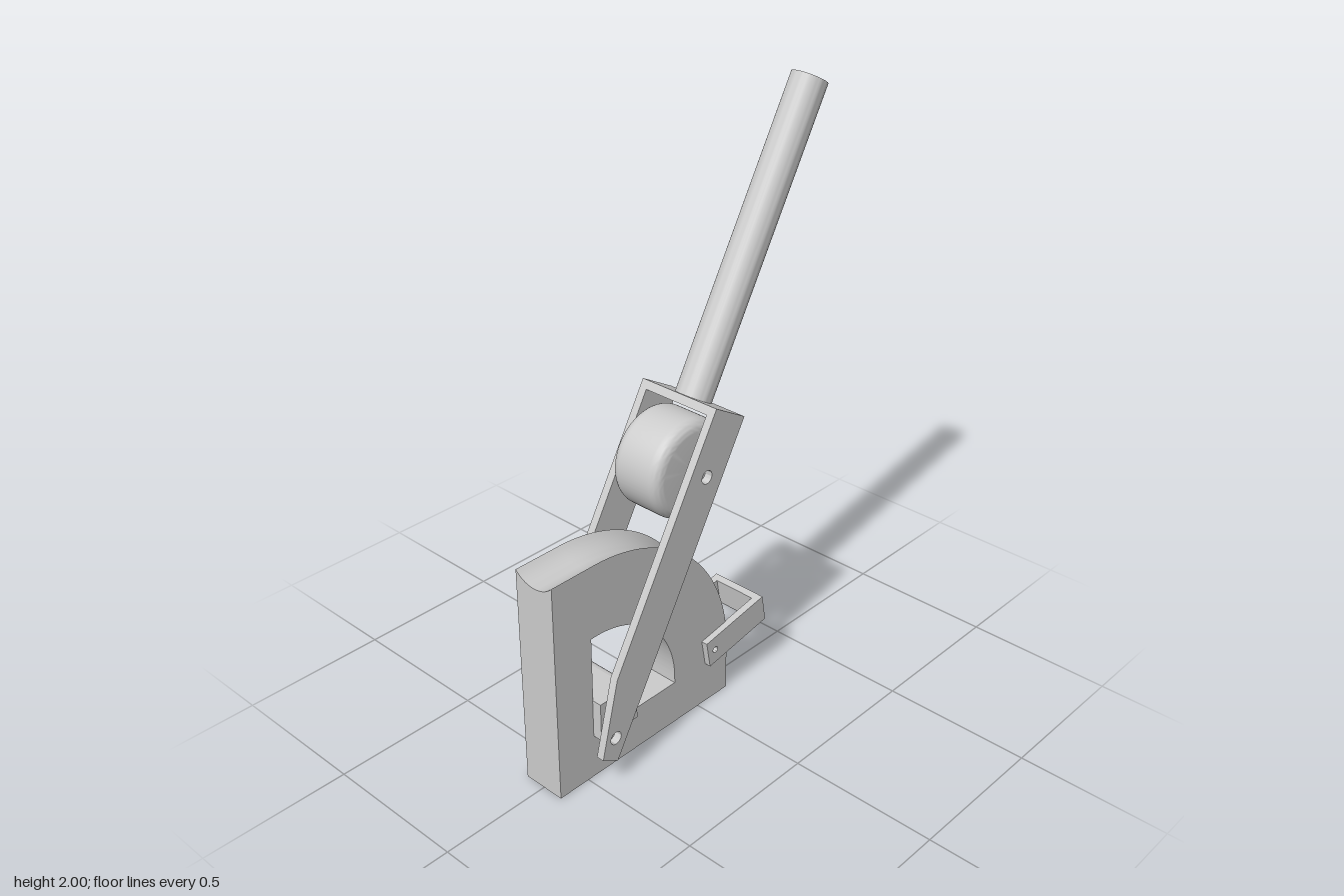
import * as THREE from 'three';
import { toCreasedNormals } from 'three/addons/utils/BufferGeometryUtils.js';

const PIVOT = new THREE.Vector2(-0.45, 0.175);
const material = new THREE.MeshStandardMaterial({ color: 0xcccccc });

function add(parent, name, geometry) {
  const mesh = new THREE.Mesh(toCreasedNormals(geometry, 0.6), material);
  mesh.name = name;
  parent.add(mesh);
  return mesh;
}

function polygon(points) {
  return new THREE.Shape(points.map(([x, y]) => new THREE.Vector2(x, y)));
}

function drill(shape, x, y, radius) {
  shape.holes.push(new THREE.Path().absarc(x, y, radius, 0, Math.PI * 2, true));
}

// Extrude a shape along z, centred on z = 0
function plate(shape, depth, steps = 1) {
  return new THREE.ExtrudeGeometry(shape, { depth, steps, bevelEnabled: false, curveSegments: 40 })
    .translate(0, 0, -depth / 2);
}

// Quarter-round former with a window; its rim is hollowed to cradle a pipe
function formerGeometry() {
  const rim = 0.59, half = 0.075, sag = 0.033;
  const shape = new THREE.Shape();
  shape.moveTo(-0.617, 0);
  shape.lineTo(0.14, 0);
  shape.absarc(PIVOT.x, PIVOT.y, rim, 0, Math.PI / 2, false);
  shape.lineTo(-0.617, PIVOT.y + rim);
  shape.closePath();

  const opening = new THREE.Path();
  opening.moveTo(-0.47, 0.155);
  opening.lineTo(-0.11, 0.155);
  opening.absarc(PIVOT.x, PIVOT.y, 0.34, 0, Math.acos(-0.02 / 0.34), false);
  opening.closePath();
  shape.holes.push(opening);
  drill(shape, 0.06, 0.205, 0.011);

  const geometry = plate(shape, half * 2, 16);
  const R = (half * half + sag * sag) / (2 * sag);
  const pos = geometry.attributes.position;
  const dir = new THREE.Vector2();
  for (let i = 0; i < pos.count; i++) {
    dir.set(Math.max(pos.getX(i) - PIVOT.x, 0), Math.max(pos.getY(i) - PIVOT.y, 0));
    if (dir.length() < rim - 0.01) continue;
    const z = Math.min(Math.abs(pos.getZ(i)), half);
    const depth = Math.sqrt(R * R - z * z) - (R - sag);
    dir.normalize().multiplyScalar(depth);
    pos.setXY(i, pos.getX(i) - dir.x, pos.getY(i) - dir.y);
  }
  return geometry;
}

// Block that carries the pivot in the corner of the window
function bossGeometry() {
  const shape = new THREE.Shape();
  shape.moveTo(-0.472, 0.155);
  shape.lineTo(-0.316, 0.155);
  shape.absarc(-0.351, 0.255, 0.035, 0, Math.PI / 2, false);
  shape.lineTo(-0.472, 0.29);
  shape.closePath();
  drill(shape, PIVOT.x, PIVOT.y, 0.0195);
  return plate(shape, 0.217);
}

// Wheel with rounded shoulders and a bore, axis along z
function rollerGeometry() {
  const r = 0.163, half = 0.095, fillet = 0.037, bore = 0.022;
  const points = [new THREE.Vector2(bore, -half)];
  for (const side of [-1, 1]) {
    for (let i = 0; i <= 8; i++) {
      const a = (side < 0 ? i - 8 : i) / 8 * Math.PI / 2;
      points.push(new THREE.Vector2(
        r - fillet + fillet * Math.cos(a),
        side * (half - fillet) + fillet * Math.sin(a)));
    }
  }
  points.push(new THREE.Vector2(bore, half), new THREE.Vector2(bore, -half));
  return new THREE.LatheGeometry(points, 64).rotateX(Math.PI / 2);
}

export function createModel() {
  const model = new THREE.Group();
  model.name = 'pipeBender';

  add(model, 'former', formerGeometry());
  add(model, 'pivotBoss', bossGeometry());

  // Lever: local x runs along the handle, the origin is the pivot
  const lever = new THREE.Group();
  lever.name = 'lever';
  lever.position.set(PIVOT.x, PIVOT.y, 0);
  lever.rotation.z = Math.PI / 3;
  model.add(lever);

  const axisY = 0.023, top = 1.049;
  const arm = polygon([[-0.075, -0.05], [top, -0.05], [top, 0.096], [0.187, 0.096], [-0.075, 0.022]]);
  drill(arm, 0, 0, 0.022);
  drill(arm, 0.844, axisY, 0.022);
  for (const [side, name] of [[1, 'frontArm'], [-1, 'backArm']]) {
    add(lever, name, plate(arm, 0.027)).position.z = side * 0.1365;
  }
  add(lever, 'yokeBridge', new THREE.BoxGeometry(0.028, 0.146, 0.246))
    .position.set(top - 0.014, axisY, 0);
  add(lever, 'roller', rollerGeometry()).position.set(0.844, axisY, 0);

  // Open handle tube
  const tube = [[0.052, top], [0.0585, top], [0.0585, 2.06], [0.052, 2.06], [0.052, top]]
    .map(([x, y]) => new THREE.Vector2(x, y));
  add(lever, 'handleTube', new THREE.LatheGeometry(tube, 48).rotateZ(-Math.PI / 2))
    .position.y = axisY;

  // U-shaped clip that holds the pipe end, origin at its pin hole
  const clip = new THREE.Group();
  clip.name = 'pipeClip';
  clip.position.set(0.06, 0.205, -0.005);
  clip.rotation.z = THREE.MathUtils.degToRad(10);
  model.add(clip);

  const cheek = polygon([[-0.034, -0.049], [0.245, -0.049], [0.245, 0.049], [-0.034, 0.049]]);
  drill(cheek, 0, 0, 0.011);
  for (const [side, name] of [[1, 'frontCheek'], [-1, 'backCheek']]) {
    add(clip, name, plate(cheek, 0.025)).position.z = side * 0.0895;
  }
  add(clip, 'clipEnd', new THREE.BoxGeometry(0.026, 0.098, 0.154)).position.x = 0.232;

  return model;
}
